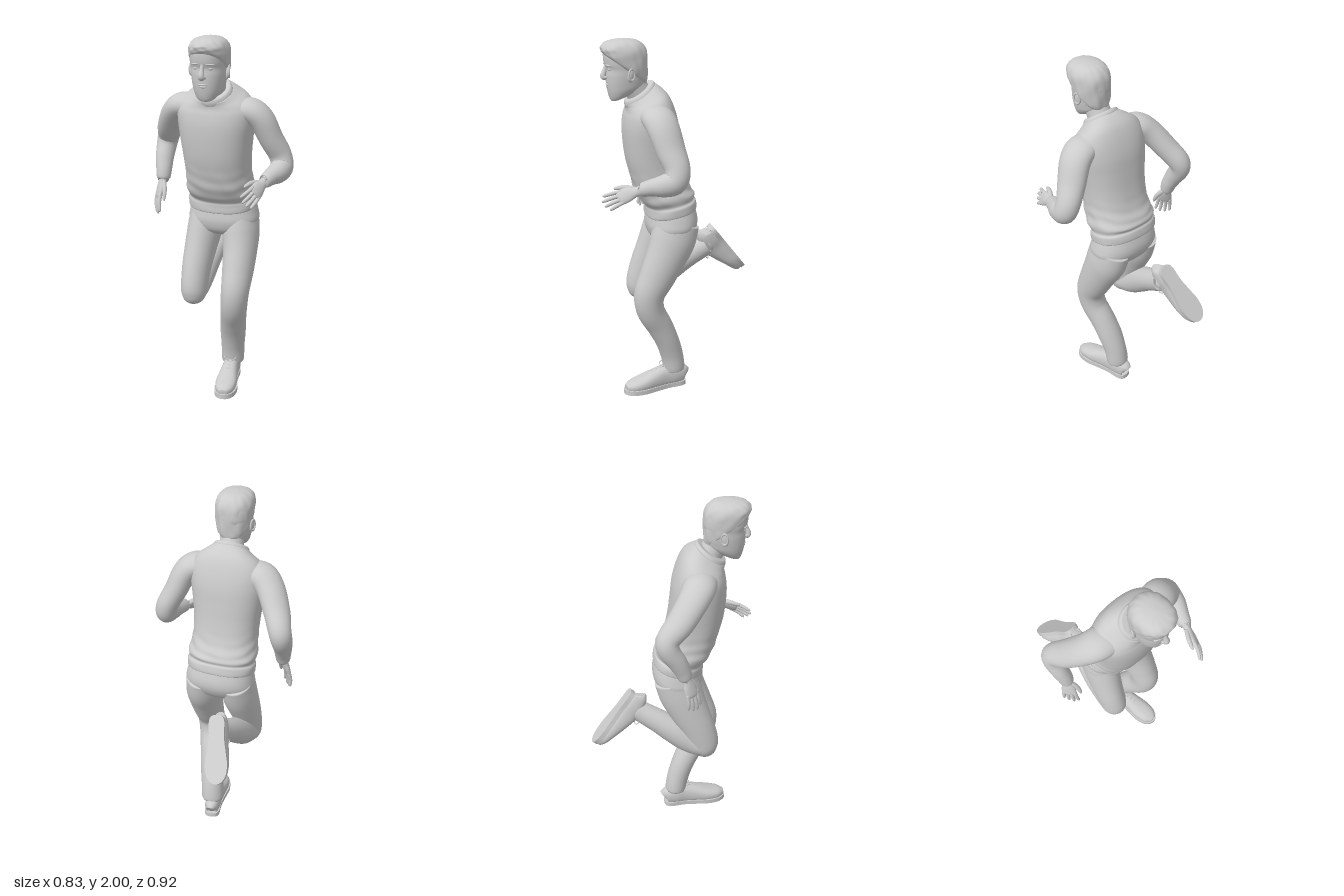
import * as THREE from 'three';

const V = (x, y, z) => new THREE.Vector3(x, y, z);
const material = new THREE.MeshStandardMaterial({ color: 0xcccccc });

function add(parent, name, geometry) {
  const mesh = new THREE.Mesh(geometry, material);
  mesh.name = name;
  parent.add(mesh);
  return mesh;
}

// Smooth in-between rows for a list of equal-length number arrays
function sample(rows, steps) {
  const out = [], last = rows.length - 1;
  for (let i = 0; i < last; i++) {
    const [a, b, c, d] = [rows[Math.max(i - 1, 0)], rows[i], rows[i + 1], rows[Math.min(i + 2, last)]];
    for (let s = 0; s < steps; s++) {
      const t = s / steps;
      out.push(b.map((q, k) => {
        const cubic = 3 * (q - c[k]) + d[k] - a[k];
        const square = 2 * a[k] - 5 * q + 4 * c[k] - d[k];
        return q + 0.5 * t * (c[k] - a[k] + t * (square + t * cubic));
      }));
    }
  }
  out.push(rows[last]);
  return out;
}

// Closed skin over rings of points, with a fan at each end
function skin(rings) {
  const n = rings[0].length, m = rings.length, pos = [], idx = [];
  rings.forEach(r => r.forEach(p => pos.push(p.x, p.y, p.z)));
  for (const r of [rings[0], rings[m - 1]]) {
    const c = r.reduce((s, p) => s.add(p), V(0, 0, 0)).divideScalar(n);
    pos.push(c.x, c.y, c.z);
  }
  for (let j = 0; j < n; j++) {
    const k = (j + 1) % n;
    for (let i = 0; i < m - 1; i++) {
      const a = i * n + j, b = i * n + k;
      idx.push(a, b, a + n, b, b + n, a + n);
    }
    idx.push(m * n, k, j, m * n + 1, (m - 1) * n + j, (m - 1) * n + k);
  }
  const g = new THREE.BufferGeometry();
  g.setAttribute('position', new THREE.Float32BufferAttribute(pos, 3));
  g.setIndex(idx);
  g.computeVertexNormals();
  return g;
}

const power = (v, n) => Math.sign(v) * Math.abs(v) ** (2 / n);

// Stacked rings, bottom to top: [y, x, z, halfWidth, halfDepth, slope of the ring along z]
function stack(rows, { n = 2.2, sides = 48, fold = () => 0 } = {}) {
  return skin(sample(rows, 6).map(([y, x, z, a, b, slope]) =>
    Array.from({ length: sides }, (_, j) => {
      const t = j / sides * Math.PI * 2, k = 1 + fold(y, t);
      const dz = b * k * power(Math.cos(t), n);
      return V(x + a * k * power(Math.sin(t), n), y + slope * dz, z + dz);
    })));
}

// Limb along a path: [x, y, z, radius along "side", radius across it]
function limb(rows, side, { n = 2, sides = 24, steps = 6 } = {}) {
  const pts = sample(rows, steps), u = side.clone();
  return skin(pts.map(([x, y, z, a, b], i) => {
    const p = pts[Math.max(i - 1, 0)], q = pts[Math.min(i + 1, pts.length - 1)];
    const t = V(q[0] - p[0], q[1] - p[1], q[2] - p[2]).normalize();
    u.addScaledVector(t, -u.dot(t)).normalize();
    const v = t.clone().cross(u);
    return Array.from({ length: sides }, (_, j) => {
      const w = j / sides * Math.PI * 2;
      return V(x, y, z).addScaledVector(u, a * power(Math.cos(w), n)).addScaledVector(v, b * power(Math.sin(w), n));
    });
  }));
}

function ball(parent, name, p, r, rot = [0, 0, 0]) {
  const m = add(parent, name, new THREE.SphereGeometry(1, 20, 14));
  m.position.set(...p);
  m.scale.set(...r);
  m.rotation.set(...rot);
}

// Hand: wrist point, finger direction, thumb-side direction, sign of the palm side
function makeHand(name, wrist, F, W, sign) {
  const hand = new THREE.Group();
  hand.name = name;
  F.normalize();
  W.addScaledVector(F, -W.dot(F)).normalize();
  const P = W.clone().cross(F).multiplyScalar(sign);
  const at = (f, w, p, a, b) => [...wrist.clone().addScaledVector(F, f).addScaledVector(W, w).addScaledVector(P, p), a, b];
  add(hand, 'palm', limb([at(-0.03, 0, 0, 0.025, 0.02), at(0.02, 0, 0, 0.026, 0.019), at(0.06, 0.002, 0, 0.038, 0.018),
    at(0.1, 0.001, 0, 0.04, 0.015), at(0.116, 0, 0.001, 0.031, 0.01)], W));
  [[0.03, 0.088], [0.011, 0.102], [-0.009, 0.095], [-0.028, 0.076]].forEach(([w, len]) =>
    add(hand, 'finger', limb([at(0.09, w, 0, 0.0105, 0.0115), at(0.1 + len * 0.45, w * 1.2, 0.003, 0.01, 0.01),
      at(0.1 + len * 0.85, w * 1.35, 0.013, 0.0085, 0.0085), at(0.1 + len, w * 1.4, 0.018, 0.004, 0.004)],
    W, { sides: 12, steps: 4 })));
  add(hand, 'thumb', limb([at(0.015, 0.012, 0.004, 0.014, 0.013), at(0.06, 0.043, 0.012, 0.014, 0.013),
    at(0.1, 0.056, 0.016, 0.011, 0.01), at(0.122, 0.06, 0.018, 0.005, 0.005)], W, { sides: 12, steps: 4 }));
  return hand;
}

// Shoe: heel at the origin, toe along +z, sole on y = 0
function makeShoe(name) {
  const shoe = new THREE.Group();
  shoe.name = name;
  const half = [[0.03, 0.008], [0.044, 0.04], [0.043, 0.12], [0.055, 0.21], [0.063, 0.27], [0.055, 0.33], [0.03, 0.366]];
  const outline = [...half, [0, 0.376], ...half.slice().reverse().map(([x, z]) => [-x, z]), [0, 0]];
  const shape = new THREE.Shape().moveTo(0, 0);
  shape.splineThru(outline.map(p => new THREE.Vector2(...p)));
  const sole = new THREE.ExtrudeGeometry(shape, { depth: 0.026, bevelEnabled: false, curveSegments: 4 });
  add(shoe, 'sole', sole.rotateX(Math.PI / 2).translate(0, 0.026, 0));
  add(shoe, 'upper', limb([[0, 0.055, 0.003, 0.02, 0.035], [0, 0.06, 0.015, 0.038, 0.052], [0, 0.066, 0.07, 0.047, 0.062],
    [0, 0.066, 0.13, 0.046, 0.063], [0, 0.057, 0.2, 0.053, 0.053], [0, 0.046, 0.27, 0.059, 0.041],
    [0, 0.038, 0.33, 0.049, 0.031], [0, 0.034, 0.366, 0.022, 0.018]], V(1, 0, 0), { n: 2.4 }));
  // Laces across the instep, with a bow on top
  for (let i = 0; i < 4; i++) {
    const z = 0.13 + i * 0.026, y = 0.131 - i * 0.008;
    for (const s of [-1, 1]) {
      const path = new THREE.CatmullRomCurve3([V(-0.035, y - 0.02, z - s * 0.009), V(0, y + 0.001, z), V(0.035, y - 0.02, z + s * 0.009)]);
      add(shoe, 'lace', new THREE.TubeGeometry(path, 12, 0.0035, 6));
    }
  }
  for (const s of [-1, 1]) {
    const loop = add(shoe, 'laceLoop', new THREE.TorusGeometry(0.016, 0.003, 6, 20));
    loop.position.set(s * 0.02, 0.134, 0.135);
    loop.rotation.set(Math.PI / 2, s * 0.6, 0);
  }
  return shoe;
}

// Points a shoe from heel to toe, with "up" away from the sole
function placeShoe(shoe, heel, toe, up) {
  const z = toe.clone().sub(heel).normalize();
  const y = up.addScaledVector(z, -up.dot(z)).normalize();
  shoe.quaternion.setFromRotationMatrix(new THREE.Matrix4().makeBasis(y.clone().cross(z), y, z));
  shoe.position.copy(heel);
  return shoe;
}

function makeHead() {
  const head = new THREE.Group();
  head.name = 'head';
  const x = 0.013;
  add(head, 'neck', limb([[0.008, 1.6, 0.15, 0.07, 0.07], [0.01, 1.7, 0.19, 0.066, 0.066], [x, 1.76, 0.222, 0.066, 0.066], [x, 1.82, 0.235, 0.066, 0.07]], V(1, 0, 0)));
  add(head, 'face', stack([[1.69, x, 0.29, 0.03, 0.035, -0.4], [1.703, x, 0.276, 0.054, 0.068, -0.4], [1.735, x, 0.264, 0.075, 0.095, -0.25],
    [1.77, x, 0.264, 0.084, 0.104, -0.1], [1.81, x, 0.263, 0.09, 0.108, 0], [1.845, x, 0.262, 0.092, 0.107, 0], [1.875, x, 0.264, 0.095, 0.115, 0],
    [1.92, x, 0.268, 0.095, 0.114, 0], [1.96, x, 0.272, 0.084, 0.1, 0], [1.985, x, 0.275, 0.05, 0.06, 0]]));
  add(head, 'nose', limb([[x, 1.868, 0.365, 0.01, 0.012], [x, 1.84, 0.374, 0.011, 0.013], [x, 1.812, 0.385, 0.016, 0.015],
    [x, 1.798, 0.381, 0.018, 0.012], [x, 1.793, 0.372, 0.012, 0.006]], V(1, 0, 0)));
  ball(head, 'upperLip', [x, 1.764, 0.363], [0.027, 0.006, 0.01]);
  ball(head, 'lowerLip', [x, 1.753, 0.361], [0.023, 0.007, 0.01]);
  ball(head, 'chin', [x, 1.708, 0.332], [0.03, 0.022, 0.022]);
  for (const s of [-1, 1]) {
    ball(head, 'nostril', [x + s * 0.014, 1.802, 0.373], [0.008, 0.008, 0.011]);
    ball(head, 'eye', [x + s * 0.036, 1.846, 0.355], [0.015, 0.009, 0.01]);
    ball(head, 'eyebrow', [x + s * 0.038, 1.868, 0.363], [0.026, 0.006, 0.012], [0, s * 0.35, -s * 0.08]);
    ball(head, 'ear', [x + s * 0.094, 1.818, 0.255], [0.01, 0.036, 0.021], [-0.2, s * 0.35, 0]);
    const rim = add(head, 'earRim', new THREE.TorusGeometry(0.022, 0.0055, 8, 24).scale(0.8, 1.35, 1));
    rim.position.set(x + s * 0.101, 1.822, 0.254);
    rim.rotation.set(0, s * (Math.PI / 2 + 0.35), 0);
  }
  // Hair swept back, with shallow strands
  const strands = (y, t) => y < 1.85 ? 0 : 0.012 * Math.sin(t * 13 + y * 45) + 0.008 * Math.sin(t * 7 - y * 80);
  add(head, 'hair', stack([[1.84, x + 0.002, 0.27, 0.088, 0.11, 0.72], [1.86, x + 0.004, 0.272, 0.099, 0.119, 0.62], [1.905, x + 0.005, 0.273, 0.103, 0.123, 0.34],
    [1.945, x + 0.005, 0.274, 0.1, 0.121, 0.13], [1.976, x + 0.005, 0.276, 0.083, 0.1, 0.05], [1.993, x + 0.005, 0.278, 0.052, 0.065, 0],
    [2.0, x + 0.005, 0.28, 0.012, 0.015, 0]], { sides: 80, fold: strands }));
  return head;
}

export function createModel() {
  const model = new THREE.Group();
  model.name = 'runningMan';
  model.add(makeHead());

  // Sweater body with gathered folds above the hem
  const gather = (y, t) => {
    const k = Math.max(0, 1 - Math.abs(y - 1.18) / 0.14);
    return k * (0.014 * Math.sin(y * 95 + 2.2 * Math.sin(t * 2 + 1)) + 0.008 * Math.sin(t * 9 + y * 40));
  };
  add(model, 'sweater', stack([[1.05, 0, 0.022, 0.178, 0.128, -0.2], [1.056, 0, 0.022, 0.19, 0.138, -0.2], [1.095, 0, 0.026, 0.19, 0.136, -0.2],
    [1.112, 0, 0.032, 0.183, 0.132, -0.18], [1.14, 0, 0.045, 0.191, 0.148, -0.12], [1.18, 0, 0.066, 0.186, 0.152, -0.05], [1.25, 0, 0.092, 0.179, 0.148, 0],
    [1.35, 0, 0.115, 0.184, 0.15, 0], [1.45, 0, 0.127, 0.196, 0.15, 0], [1.54, 0.002, 0.134, 0.207, 0.145, -0.08], [1.61, 0.003, 0.142, 0.206, 0.13, -0.2],
    [1.66, 0.005, 0.154, 0.178, 0.11, -0.4], [1.69, 0.006, 0.174, 0.128, 0.09, -0.6], [1.705, 0.008, 0.19, 0.098, 0.078, -0.7]],
  { n: 2.35, sides: 72, fold: gather }));
  add(model, 'collar', stack([[1.688, 0.008, 0.185, 0.098, 0.08, -0.7], [1.705, 0.008, 0.19, 0.1, 0.081, -0.7], [1.72, 0.008, 0.196, 0.09, 0.075, -0.7],
    [1.722, 0.008, 0.197, 0.078, 0.064, -0.7]], { n: 2 }));

  // Sleeves and hands
  const up = V(0, 1, 0);
  add(model, 'leftSleeve', limb([[0.09, 1.6, 0.142, 0.06, 0.08], [0.185, 1.602, 0.134, 0.068, 0.09], [0.245, 1.555, 0.118, 0.069, 0.088], [0.293, 1.45, 0.092, 0.064, 0.08],
    [0.335, 1.365, 0.07, 0.061, 0.069], [0.352, 1.305, 0.085, 0.06, 0.066], [0.346, 1.285, 0.14, 0.056, 0.06], [0.327, 1.275, 0.2, 0.045, 0.046],
    [0.312, 1.263, 0.25, 0.036, 0.037], [0.31, 1.262, 0.255, 0.027, 0.027]], up));
  add(model, 'rightSleeve', limb([[-0.09, 1.6, 0.142, 0.06, 0.08], [-0.185, 1.607, 0.125, 0.068, 0.088], [-0.25, 1.558, 0.087, 0.067, 0.082], [-0.31, 1.465, 0.018, 0.063, 0.075],
    [-0.347, 1.395, -0.042, 0.06, 0.063], [-0.36, 1.34, -0.042, 0.054, 0.06], [-0.357, 1.27, 0, 0.048, 0.053], [-0.35, 1.21, 0.03, 0.043, 0.045],
    [-0.348, 1.165, 0.045, 0.037, 0.038], [-0.348, 1.161, 0.046, 0.027, 0.027]], up));
  model.add(makeHand('leftHand', V(0.308, 1.258, 0.265), V(-0.15, -0.33, 0.93), V(-0.5, 0.8, 0.2), -1));
  model.add(makeHand('rightHand', V(-0.35, 1.165, 0.048), V(-0.15, -0.93, 0.3), V(0.6, 0, 0.8), 1));

  // Trousers: seat, straight leg, and the folded leg as thigh and shin
  const side = V(1, 0, 0);
  add(model, 'trouserSeat', stack([[0.89, 0.005, 0.03, 0.1, 0.075, 0], [0.92, 0.005, 0.028, 0.165, 0.115, 0], [0.97, 0.005, 0.022, 0.195, 0.137, 0],
    [1.02, 0.004, 0.018, 0.19, 0.138, 0], [1.08, 0.002, 0.02, 0.176, 0.126, 0]], { n: 2.3 }));
  add(model, 'leftTrouserLeg', limb([[0.1, 1.0, 0.008, 0.092, 0.125], [0.108, 0.9, 0.035, 0.1, 0.127], [0.118, 0.8, 0.08, 0.092, 0.112], [0.122, 0.7, 0.128, 0.085, 0.1],
    [0.122, 0.6, 0.172, 0.077, 0.086], [0.111, 0.5, 0.163, 0.074, 0.078], [0.09, 0.4, 0.11, 0.072, 0.073], [0.073, 0.3, 0.063, 0.072, 0.067],
    [0.061, 0.2, 0.03, 0.066, 0.064], [0.055, 0.11, 0.014, 0.064, 0.061], [0.055, 0.106, 0.014, 0.05, 0.05]], side, { sides: 32 }));
  add(model, 'rightThigh', limb([[-0.098, 1.0, 0.008, 0.09, 0.122], [-0.103, 0.9, 0.038, 0.094, 0.122], [-0.113, 0.8, 0.08, 0.087, 0.11], [-0.12, 0.7, 0.125, 0.08, 0.098],
    [-0.122, 0.6, 0.16, 0.074, 0.088], [-0.122, 0.545, 0.17, 0.068, 0.074], [-0.122, 0.507, 0.172, 0.048, 0.05], [-0.122, 0.492, 0.172, 0.018, 0.018]], side, { sides: 32 }));
  add(model, 'rightShin', limb([[-0.122, 0.54, 0.2, 0.03, 0.03], [-0.122, 0.555, 0.165, 0.066, 0.06], [-0.118, 0.6, 0.08, 0.07, 0.076], [-0.112, 0.658, 0, 0.069, 0.077],
    [-0.1, 0.718, -0.09, 0.063, 0.068], [-0.086, 0.77, -0.18, 0.056, 0.061], [-0.08, 0.79, -0.215, 0.054, 0.058], [-0.079, 0.792, -0.218, 0.042, 0.045]], side, { sides: 32 }));

  // Shoes
  model.add(placeShoe(makeShoe('leftShoe'), V(0.04, 0, -0.055), V(0.1, 0, 0.315), V(0, 1, 0)));
  model.add(placeShoe(makeShoe('rightShoe'), V(-0.07, 0.915, -0.24), V(-0.15, 0.625, -0.468), V(0, -0.61, 0.79)));
  return model;
}
